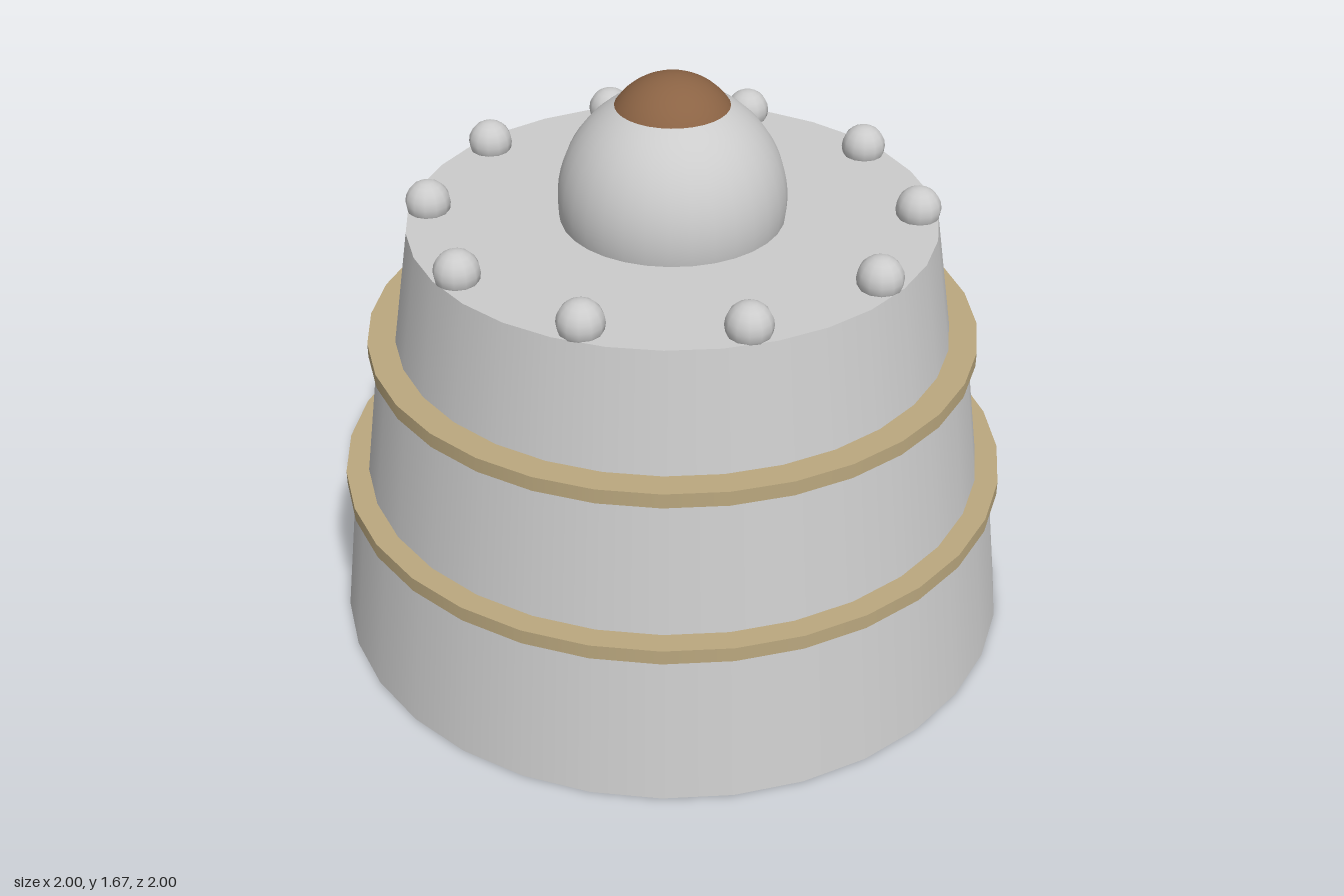
import * as THREE from 'three';

export function createModel() {
  const model = new THREE.Group();
  const grey = new THREE.MeshStandardMaterial({ color: 0xcccccc });
  const tan = new THREE.MeshStandardMaterial({ color: 0xbba87f });
  const brown = new THREE.MeshStandardMaterial({ color: 0x8b6344 });

  function add(name, geometry, material, x, y, z) {
    const mesh = new THREE.Mesh(geometry, material);
    mesh.name = name;
    mesh.position.set(x, y, z);
    model.add(mesh);
  }

  // Round section standing between two heights
  function section(name, rBottom, rTop, y0, y1, material) {
    const geometry = new THREE.CylinderGeometry(rTop, rBottom, y1 - y0, 32);
    add(name, geometry, material, 0, (y0 + y1) / 2, 0);
  }

  // Three tapering tiers with a flat band on each step
  section('lowerTier', 1, 0.945, 0, 0.45, grey);
  section('lowerBand', 0.97, 0.97, 0.443, 0.486, tan);
  section('middleTier', 0.905, 0.85, 0.48, 0.88, grey);
  section('upperBand', 0.875, 0.875, 0.871, 0.914, tan);
  section('upperTier', 0.797, 0.743, 0.91, 1.255, grey);

  // Central dome, cut just below its widest line, and its rounded cap
  add('dome', new THREE.SphereGeometry(0.32, 32, 20, 0, Math.PI * 2, 0, 1.76), grey, 0, 1.308, 0);
  add('domeCap', new THREE.SphereGeometry(0.192, 32, 10, 0, Math.PI * 2, 0, 0.985), brown, 0, 1.478, 0);

  // Ring of small studs around the top
  const studGeometry = new THREE.SphereGeometry(0.064, 12, 10);
  for (let i = 0; i < 10; i++) {
    const a = (i / 10) * Math.PI * 2;
    add('stud' + (i + 1), studGeometry, grey, 0.685 * Math.cos(a), 1.28, 0.685 * Math.sin(a));
  }

  return model;
}
